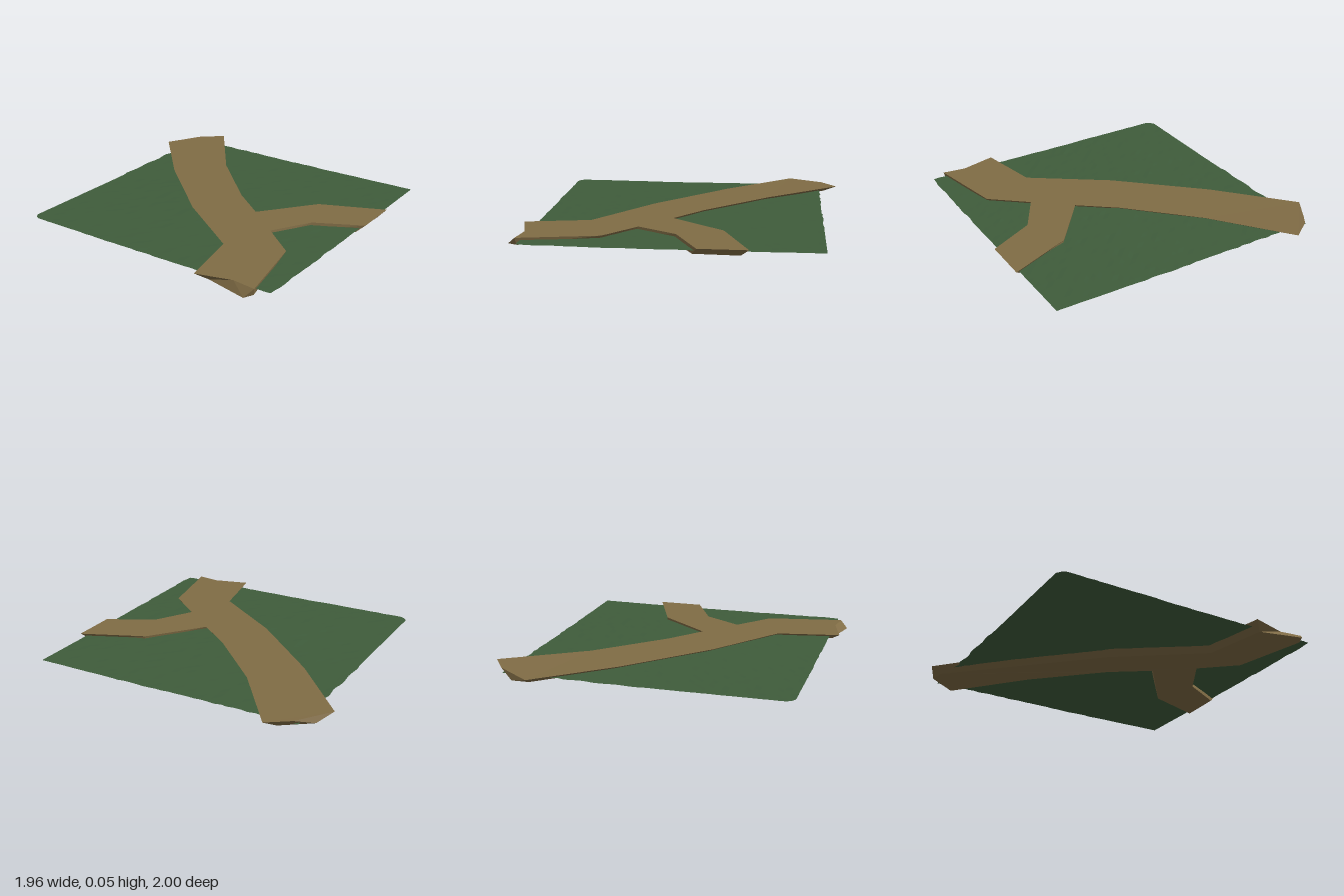
import * as THREE from 'three';

// Road outline, counter-clockwise from above: [top x, top z, bottom x, bottom z]
const OUTLINE = [
  [-0.98, -0.67, -0.91, -0.68],
  [-0.58, -0.22, -0.55, -0.31],
  [-0.08, 0.24, -0.08, 0.14],
  [0.40, 0.58, 0.46, 0.53],
  [0.48, 0.99, 0.54, 0.93],
  [0.71, 0.93, 0.82, 1.00],
  [0.86, 0.95, 0.85, 0.94],
  [0.76, 0.45, 0.74, 0.48],
  [0.53, 0.26, 0.52, 0.29],
  [0.68, 0.01, 0.67, 0.03],
  [0.98, -0.14, 0.93, -0.11],
  [0.98, -0.44, 0.94, -0.39],
  [0.57, -0.27, 0.58, -0.27],
  [0.30, 0.07, 0.29, 0.11],
  [0.07, -0.11, 0.04, -0.06],
  [-0.33, -0.51, -0.37, -0.45],
  [-0.69, -1.00, -0.74, -0.92],
  [-0.83, -0.90, -0.92, -0.79],
];

// Forked slab: two outlines, each capped, joined by a band of side faces
function roadGeometry() {
  const n = OUTLINE.length;
  const topY = (z) => 0.045 + 0.01 * THREE.MathUtils.smoothstep(-z, 0.6, 1);
  const bottomY = (z) => 0.012 * THREE.MathUtils.smoothstep(-z, 0.4, 0.8);
  const positions = [];
  OUTLINE.forEach(([x, z]) => positions.push(x, topY(z), z));
  OUTLINE.forEach(([, , x, z]) => positions.push(x, bottomY(z), z));

  const cap = (k) => THREE.ShapeUtils.triangulateShape(
    OUTLINE.map((p) => new THREE.Vector2(p[k], -p[k + 1])), []);
  const index = [];
  cap(0).forEach(([a, b, c]) => index.push(a, b, c));
  cap(2).forEach(([a, b, c]) => index.push(n + a, n + c, n + b));
  for (let i = 0; i < n; i++) {
    const j = (i + 1) % n;
    index.push(n + i, n + j, j, n + i, j, i);
  }

  const indexed = new THREE.BufferGeometry();
  indexed.setAttribute('position', new THREE.Float32BufferAttribute(positions, 3));
  indexed.setIndex(index);
  const geometry = indexed.toNonIndexed();
  geometry.computeVertexNormals();
  return geometry;
}

// Repeatable value in -1..1 for a grid cell
function jitter(i, j) {
  const s = Math.sin(i * 12.9898 + j * 78.233) * 43758.5453;
  return 2 * (s - Math.floor(s)) - 1;
}

// Thin sheet of gently uneven grass with slightly ragged edges
function groundGeometry() {
  const cells = 40;
  const geometry = new THREE.PlaneGeometry(1.8, 1.8, cells, cells);
  geometry.rotateX(-Math.PI / 2);
  geometry.translate(0.05, 0, 0.02);
  const pos = geometry.attributes.position;
  for (let k = 0; k < pos.count; k++) {
    const i = k % (cells + 1);
    const j = Math.floor(k / (cells + 1));
    let x = pos.getX(k);
    let z = pos.getZ(k);
    const y = 0.029 + 0.003 * Math.sin(3 * x + 1) * Math.cos(2.5 * z)
      + 0.0008 * jitter(i, j);
    if (i === 0 && j < cells / 2) x += 0.009 * jitter(j, 3);
    if (i === cells && j > cells / 2) x += 0.005 * jitter(j, 5);
    if (j === 0 && i < cells * 0.7) z += 0.005 * jitter(i, 7);
    if (j === cells) z += 0.003 * jitter(i, 9);
    // Clipped front corner
    if (i === 0 && j === cells) {
      x += 0.02;
      z -= 0.02;
    }
    pos.setXYZ(k, x, y, z);
  }
  geometry.computeVertexNormals();
  return geometry;
}

export function createModel() {
  const group = new THREE.Group();
  group.name = 'forkedPathTile';

  const ground = new THREE.Mesh(groundGeometry(), new THREE.MeshStandardMaterial({
    color: 0x3f5c3b, flatShading: true, side: THREE.DoubleSide,
  }));
  ground.name = 'grassGround';

  const road = new THREE.Mesh(roadGeometry(), new THREE.MeshStandardMaterial({
    color: 0x806c45, flatShading: true,
  }));
  road.name = 'dirtPath';

  group.add(ground, road);
  return group;
}
